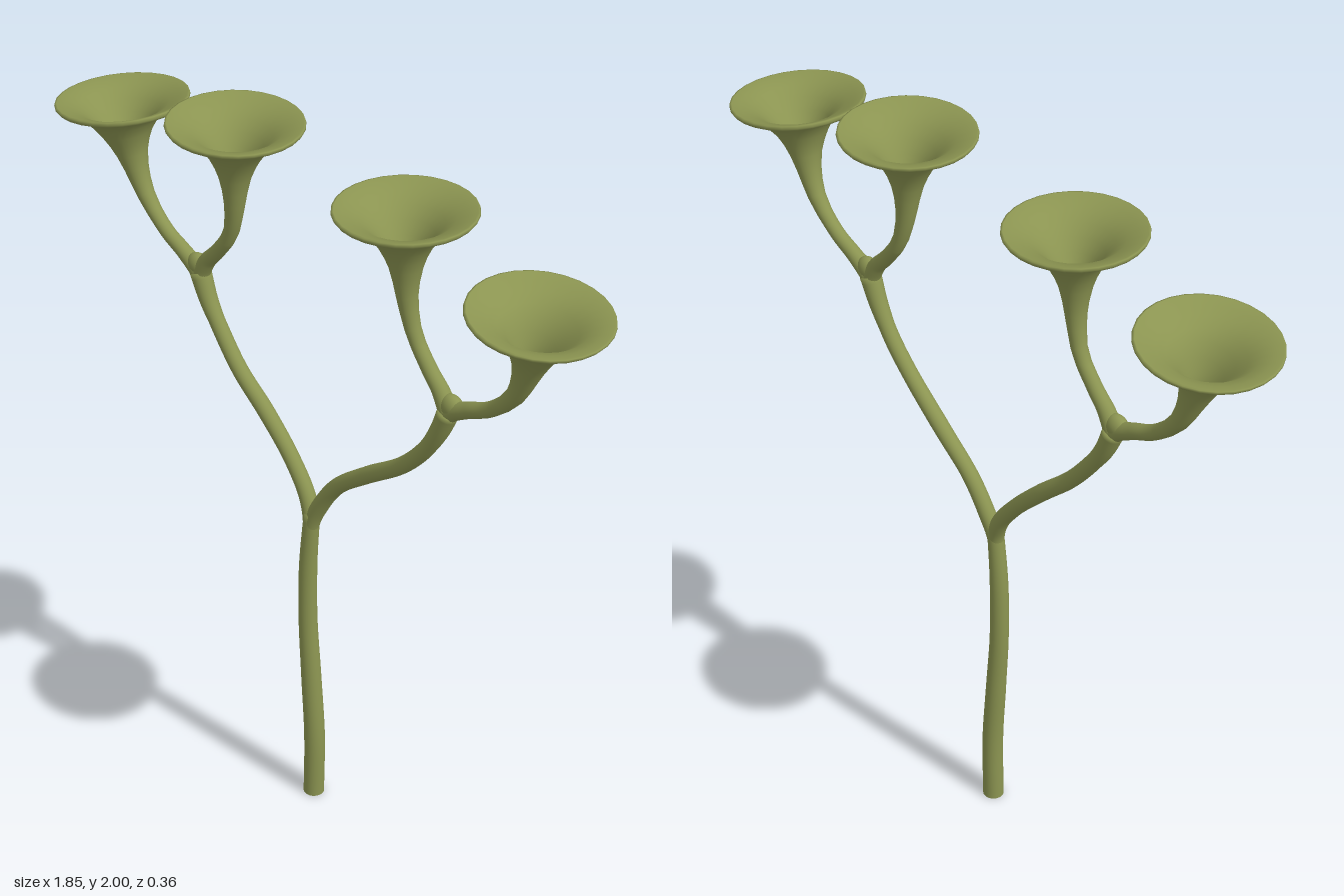
import * as THREE from 'three';

const SIDES = 28;

// Smooth skin over rings [position on curve 0..1, radius]; repeat a ring for a hard edge
function sweep(curve, rings, material, name) {
  const pos = [], index = [];
  const zAxis = new THREE.Vector3(0, 0, 1);
  rings.forEach(([t, r], i) => {
    const p = curve.getPointAt(t), tan = curve.getTangentAt(t);
    const n = new THREE.Vector3().crossVectors(zAxis, tan).normalize();
    const b = new THREE.Vector3().crossVectors(tan, n);
    for (let j = 0; j < SIDES; j++) {
      const a = (j / SIDES) * Math.PI * 2;
      const v = p.clone().addScaledVector(n, r * Math.cos(a)).addScaledVector(b, r * Math.sin(a));
      pos.push(v.x, v.y, v.z);
      if (i === 0) continue;
      const k = (j + 1) % SIDES, lo = (i - 1) * SIDES, hi = i * SIDES;
      index.push(lo + j, lo + k, hi + k, lo + j, hi + k, hi + j);
    }
  });
  const g = new THREE.BufferGeometry();
  g.setAttribute('position', new THREE.Float32BufferAttribute(pos, 3));
  g.setIndex(index);
  g.computeVertexNormals();
  const mesh = new THREE.Mesh(g, material);
  mesh.name = name;
  return mesh;
}

const path = (pts) => new THREE.CatmullRomCurve3(pts.map((p) => new THREE.Vector3(p[0], p[1], p[2] ?? -0.008)));

// Evenly spaced rings with radii interpolated along the length
function taper(radii, steps, end = 1) {
  return Array.from({ length: steps + 1 }, (_, i) => {
    const u = (i / steps) * (radii.length - 1), k = Math.min(Math.floor(u), radii.length - 2);
    return [(i / steps) * end, THREE.MathUtils.lerp(radii[k], radii[k + 1], u - k)];
  });
}

// Trumpet profile: [radius, distance below the rim], outer wall up then inner wall down
const OUTER = [[0.021, 0.32], [0.024, 0.27], [0.028, 0.23], [0.033, 0.195], [0.042, 0.155], [0.053, 0.125], [0.068, 0.095],
  [0.087, 0.068], [0.108, 0.046], [0.133, 0.03], [0.158, 0.02], [0.174, 0.013], [0.178, 0.007], [0.177, 0.001]];
const INNER = [[0.172, 0], [0.15, 0.008], [0.122, 0.02], [0.096, 0.04], [0.072, 0.066], [0.052, 0.098], [0.035, 0.13],
  [0.02, 0.165], [0.01, 0.195], [0, 0.21]];

// Stem that flares into an open trumpet cup
function cupStem(pts, material, name) {
  const curve = path(pts), len = curve.getLength();
  const stem = taper([0.022, 0.025, 0.024, 0.021, 0.02, 0.02], 24, 1 - 0.36 / len);
  const bell = [...OUTER, ...INNER].map(([r, d]) => [1 - d / len, r]);
  return sweep(curve, [...stem, ...bell], material, name);
}

export function createModel() {
  const model = new THREE.Group();
  const olive = new THREE.MeshStandardMaterial({ color: 0x8b9451 });
  olive.name = 'olive green';

  // Trunk with a flat foot
  const trunk = path([[-0.024, 0], [-0.021, 0.2], [-0.034, 0.4], [-0.047, 0.6], [-0.045, 0.78], [-0.03, 0.95]]);
  model.add(sweep(trunk, [[0, 0], [0, 0.029], ...taper([0.029, 0.029, 0.028, 0.026, 0.025, 0.022], 40), [1, 0]], olive, 'trunk'));

  // Two main branches that leave the trunk together
  const limbs = {
    rightBranch: [[-0.043, 0.84], [-0.034, 0.92], [-0.055, 0.985, -0.015], [-0.12, 1.075, -0.018], [-0.215, 1.175, -0.015],
      [-0.31, 1.265], [-0.38, 1.35], [-0.43, 1.425], [-0.462, 1.5]],
    leftBranch: [[-0.043, 0.84], [-0.03, 0.92], [-0.002, 0.985, -0.012], [0.06, 1.075, -0.015], [0.17, 1.165, -0.015],
      [0.305, 1.265], [0.38, 1.345], [0.43, 1.425], [0.462, 1.5]],
  };
  for (const [name, pts] of Object.entries(limbs)) {
    model.add(sweep(path(pts), [...taper([0.02, 0.023, 0.022, 0.023, 0.022, 0.022, 0.029], 48), [1, 0]], olive, name));
  }

  // Each branch forks into an outer and an inner cup
  const outer = [[0.43, 1.425], [0.465, 1.495], [0.525, 1.532], [0.595, 1.567], [0.672, 1.637], [0.715, 1.73, -0.004],
    [0.737, 1.815, 0], [0.746, 1.86, 0], [0.751, 1.902, 0]];
  const inner = [[0.43, 1.425], [0.457, 1.49], [0.435, 1.54], [0.39, 1.59], [0.337, 1.665], [0.316, 1.75, -0.004],
    [0.309, 1.86, -0.002], [0.306, 1.94, -0.002], [0.305, 1.995, -0.002]];
  for (const [side, s] of [['left', 1], ['right', -1]]) {
    const mirror = (pts) => pts.map(([x, y, z]) => [x * s, y, z]);
    model.add(cupStem(mirror(outer), olive, side + 'OuterCup'));
    model.add(cupStem(mirror(inner), olive, side + 'InnerCup'));
    // Swelling that fills the fork
    const knot = new THREE.Mesh(new THREE.SphereGeometry(0.033, 24, 16), olive);
    knot.name = side + 'Fork';
    knot.scale.set(1.1, 1, 0.75);
    knot.position.set(0.47 * s, 1.517, -0.008);
    model.add(knot);
  }
  return model;
}
